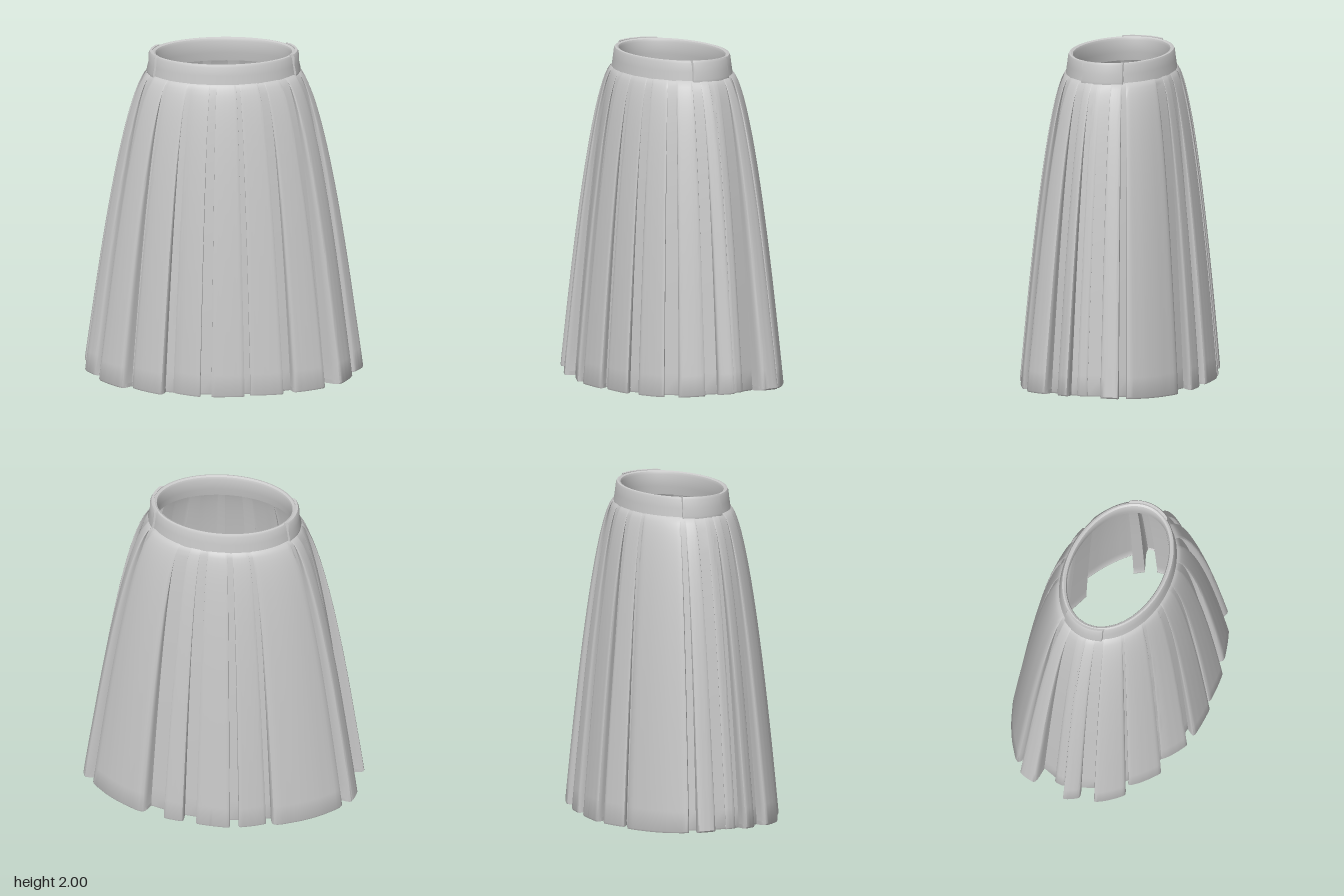
import * as THREE from 'three';
import { toCreasedNormals } from 'three/addons/utils/BufferGeometryUtils.js';

// Pleats round the hem: start angle, end angle (degrees from the left side round the front),
// and how far each edge stands out relative to the hem oval
const PLEATS = [
  [-4, 3, .91, .91], [7, 15, 1.01, .97], [24, 38, 1, 1.04], [46, 60, 1.02, .98],
  [66, 80, .99, .95], [83, 97, .98, .98], [102, 116, .98, .89], [119, 137, .99, .93],
  [139, 156, 1, 1], [165, 174, .97, 1.01], [177, 184, .91, .91], [194, 204, 1.02, 1.06],
  [209, 243, 1.04, 1], [246, 258, .97, 1.01], [262, 276, 1.02, 1], [282, 290, 1, 1.01],
  [300, 331, 1.02, 1.04], [336, 346, 1.07, 1.02],
];
const TUCK = .89; // how far in the hidden folds lie
const TOP = 1.88; // height where the pleats vanish under the band
const ROWS = 24;

// Point on the hem oval
function hemPoint(degrees, r) {
  const a = THREE.MathUtils.degToRad(degrees);
  return new THREE.Vector3(.83 * r * Math.cos(a), 0, .57 * r * Math.sin(a));
}

// Point on the waist oval, pushed outward by d
function waistPoint(a, d, y) {
  return new THREE.Vector3((.44 + d) * Math.cos(a), y, -.015 + (.308 + d) * Math.sin(a));
}

// Skin a grid of rows; each row is a run of points
function loft(rows, wrapAcross, wrapUp) {
  const n = rows[0].length;
  const m = rows.length;
  const index = [];
  for (let j = 0; j < (wrapUp ? m : m - 1); j++) {
    for (let i = 0; i < (wrapAcross ? n : n - 1); i++) {
      const i2 = (i + 1) % n;
      const j2 = (j + 1) % m;
      const a = j * n + i, b = j * n + i2, c = j2 * n + i, d = j2 * n + i2;
      index.push(a, c, b, b, c, d);
    }
  }
  const geometry = new THREE.BufferGeometry().setFromPoints(rows.flat());
  geometry.setIndex(index);
  return toCreasedNormals(geometry, .7);
}

// Rounded outline of one pleat, its edges turned under towards the tucks
function pleatOutline([start, end, r0, r1]) {
  const middle = [1, 2, 3].map((k) => hemPoint(
    start + (end - start) * k / 4, r0 + (r1 - r0) * k / 4 + .008));
  return new THREE.CatmullRomCurve3([
    hemPoint(start + 1, TUCK), hemPoint(start, r0), ...middle, hemPoint(end, r1), hemPoint(end - 1, TUCK),
  ]).getPoints(24);
}

function skirtGeometry() {
  const hem = PLEATS.flatMap(pleatOutline);
  const ring = (y, flare) => hem.map((h) => {
    const angle = Math.atan2(h.z / .57, h.x / .83);
    const p = waistPoint(angle, .008, y).lerp(h, flare);
    // The hem rises slightly at the sides
    const lift = .03 * Math.pow(Math.abs(h.x) / .83, 4);
    p.y = y + lift * Math.max(0, 1 - y / .4);
    return p;
  });
  // Turned-in lip, then rows from hem to waist, closer together near the waist
  const rows = [ring(.025, .965), ring(0, .985)];
  for (let k = ROWS; k >= 0; k--) {
    const t = Math.pow(k / ROWS, 1.6);
    rows.push(ring(.01 + (TOP - .01) * (1 - t), Math.pow(t, .58)));
  }
  return loft(rows, true, false);
}

// Closed cross-section of [outward offset, y] swept along the waist
function bandGeometry(profile, from, to, steps, full) {
  const rows = profile.map(([d, y]) => {
    const row = [];
    for (let i = 0; i < (full ? steps : steps + 1); i++) {
      const end = !full && (i === 0 || i === steps);
      row.push(waistPoint(from + (to - from) * i / steps, end ? -.012 : d, y));
    }
    return row;
  });
  return loft(rows, full, true);
}

export function createModel() {
  const cloth = new THREE.MeshStandardMaterial({ color: 0xc8c8c8, side: THREE.DoubleSide });
  cloth.name = 'grey cloth';
  const model = new THREE.Group();
  model.name = 'pleatedSkirt';
  const add = (name, geometry) => {
    const mesh = new THREE.Mesh(geometry, cloth);
    mesh.name = name;
    model.add(mesh);
  };

  add('pleatedPanels', skirtGeometry());

  // Waistband with rolled top and bottom edges
  add('waistband', bandGeometry([
    [-.022, 1.85], [.006, 1.848], [.014, 1.858], [.012, 1.875], [.004, 1.93], [-.002, 1.98],
    [-.008, 1.993], [-.018, 1.996], [-.03, 1.99], [-.036, 1.975], [-.03, 1.9],
  ], 0, Math.PI * 2, 96, true));

  // Adjuster tabs on both sides of the waist
  const tab = [[-.005, 1.865], [.02, 1.867], [.022, 1.885], [.012, 1.93], [.01, 1.985], [.002, 2], [-.012, 1.998]];
  add('leftWaistTab', bandGeometry(tab, -.48, .42, 20, false));
  add('rightWaistTab', bandGeometry(tab, Math.PI - .42, Math.PI + .48, 20, false));

  return model;
}
